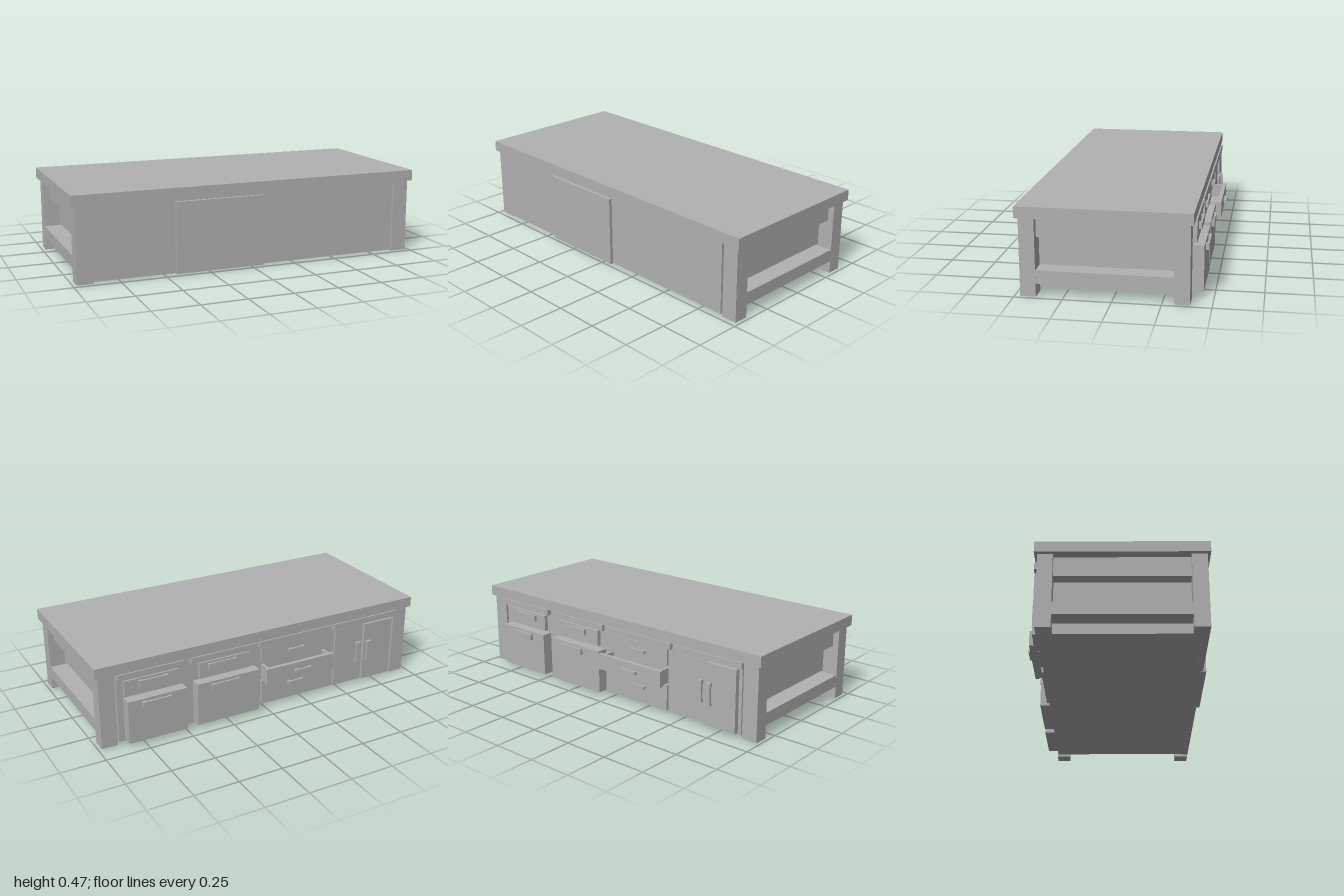
import * as THREE from 'three';

export function createModel() {
  const model = new THREE.Group();
  model.name = 'desk';
  const grey = new THREE.MeshStandardMaterial({ color: 0xb2b2b2 });
  grey.name = 'plainGrey';

  // Box given by its low and high limits on each axis
  function box(name, x0, x1, y0, y1, z0, z1, parent = model) {
    const mesh = new THREE.Mesh(new THREE.BoxGeometry(x1 - x0, y1 - y0, z1 - z0), grey);
    mesh.position.set((x0 + x1) / 2, (y0 + y1) / 2, (z0 + z1) / 2);
    mesh.name = name;
    parent.add(mesh);
    return mesh;
  }

  // Pull handle: a bar on two short posts, standing off a face at z
  function handle(x0, x1, y0, y1, z, depth, parent) {
    const g = new THREE.Group();
    g.name = 'handle';
    const upright = y1 - y0 > x1 - x0;
    box('handleBar', x0, x1, y0, y1, z - depth, z - depth * 0.4, g);
    for (const t of [0, 1]) {
      if (upright) {
        const y = t ? y1 - 0.02 : y0;
        box('handlePost', x0, x1, y, y + 0.02, z - depth * 0.5, z + 0.002, g);
      } else {
        const x = t ? x1 - 0.02 : x0;
        box('handlePost', x, x + 0.02, y0, y1, z - depth * 0.5, z + 0.002, g);
      }
    }
    parent.add(g);
  }

  // Closed drawer with its handle
  function drawer(name, x0, x1, y0, y1, z, h) {
    const g = new THREE.Group();
    g.name = name;
    box('drawerFront', x0, x1, y0, y1, z, -0.37, g);
    handle(h[0], h[1], h[2], h[3], z, h[4], g);
    model.add(g);
  }

  // Worktop, cabinet body and front panels
  box('worktop', -1, 1, 0.415, 0.475, -0.405, 0.487);
  box('cabinetBody', -0.88, 0.88, 0.012, 0.415, -0.385, 0.45);
  box('frontPanel', -0.89, 0.88, 0.01, 0.415, 0.44, 0.473);
  box('raisedFrontPanel', -0.442, 0.064, 0.008, 0.4, 0.46, 0.491);

  // Legs and side rails, mirrored
  for (const s of [-1, 1]) {
    const side = new THREE.Group();
    side.name = s > 0 ? 'leftSide' : 'rightSide';
    const place = (name, a, b, y0, y1, z0, z1) =>
      box(name, Math.min(s * a, s * b), Math.max(s * a, s * b), y0, y1, z0, z1, side);
    place('frontLeg', 0.89, 0.98, 0, 0.415, 0.39, 0.471);
    place('backLeg', 0.89, 0.98, 0, 0.415, -0.39, -0.31);
    place('upperRail', 0.88, 0.945, 0.305, 0.415, -0.31, 0.39);
    place('lowerRail', 0.88, 0.979, 0.07, 0.14, -0.31, 0.39);
    model.add(side);
  }

  // Trim strips under the back edge of the worktop
  for (const [a, b] of [[0.5, 0.88], [0.06, 0.46], [-0.43, 0.04], [-0.89, -0.45]])
    box('trimStrip', a, b, 0.38, 0.415, -0.413, -0.38);

  // Two columns with a small drawer above a deep one
  drawer('smallDrawer', 0.53, 0.845, 0.28, 0.372, -0.408, [0.6, 0.765, 0.328, 0.362, 0.017]);
  drawer('deepDrawer', 0.505, 0.845, 0.022, 0.268, -0.446, [0.6, 0.765, 0.22, 0.255, 0.018]);
  drawer('smallDrawer', 0.1, 0.41, 0.28, 0.372, -0.408, [0.19, 0.36, 0.328, 0.362, 0.015]);
  drawer('deepDrawer', 0.06, 0.44, 0.022, 0.268, -0.443, [0.19, 0.36, 0.22, 0.255, 0.015]);

  // Three-drawer column, the middle drawer pulled open
  drawer('topDrawer', -0.4, 0.02, 0.28, 0.372, -0.4, [-0.25, -0.15, 0.315, 0.332, 0.018]);
  drawer('bottomDrawer', -0.4, 0.02, 0.022, 0.168, -0.4, [-0.25, -0.15, 0.11, 0.127, 0.018]);
  const open = new THREE.Group();
  open.name = 'openDrawer';
  box('drawerFront', -0.414, 0.03, 0.18, 0.27, -0.473, -0.45, open);
  box('drawerFloor', -0.4, 0.016, 0.18, 0.19, -0.45, -0.38, open);
  box('drawerSide', -0.4, -0.385, 0.18, 0.265, -0.45, -0.38, open);
  box('drawerSide', 0.001, 0.016, 0.18, 0.265, -0.45, -0.38, open);
  handle(-0.25, -0.15, 0.216, 0.233, -0.473, 0.018, open);
  model.add(open);

  // Double doors with upright handles
  const doors = new THREE.Group();
  doors.name = 'doors';
  box('door', -0.66, -0.47, 0.02, 0.372, -0.4, -0.38, doors);
  box('door', -0.86, -0.665, 0.02, 0.372, -0.412, -0.38, doors);
  handle(-0.645, -0.615, 0.14, 0.265, -0.4, 0.018, doors);
  handle(-0.71, -0.68, 0.14, 0.265, -0.412, 0.018, doors);
  model.add(doors);

  return model;
}
